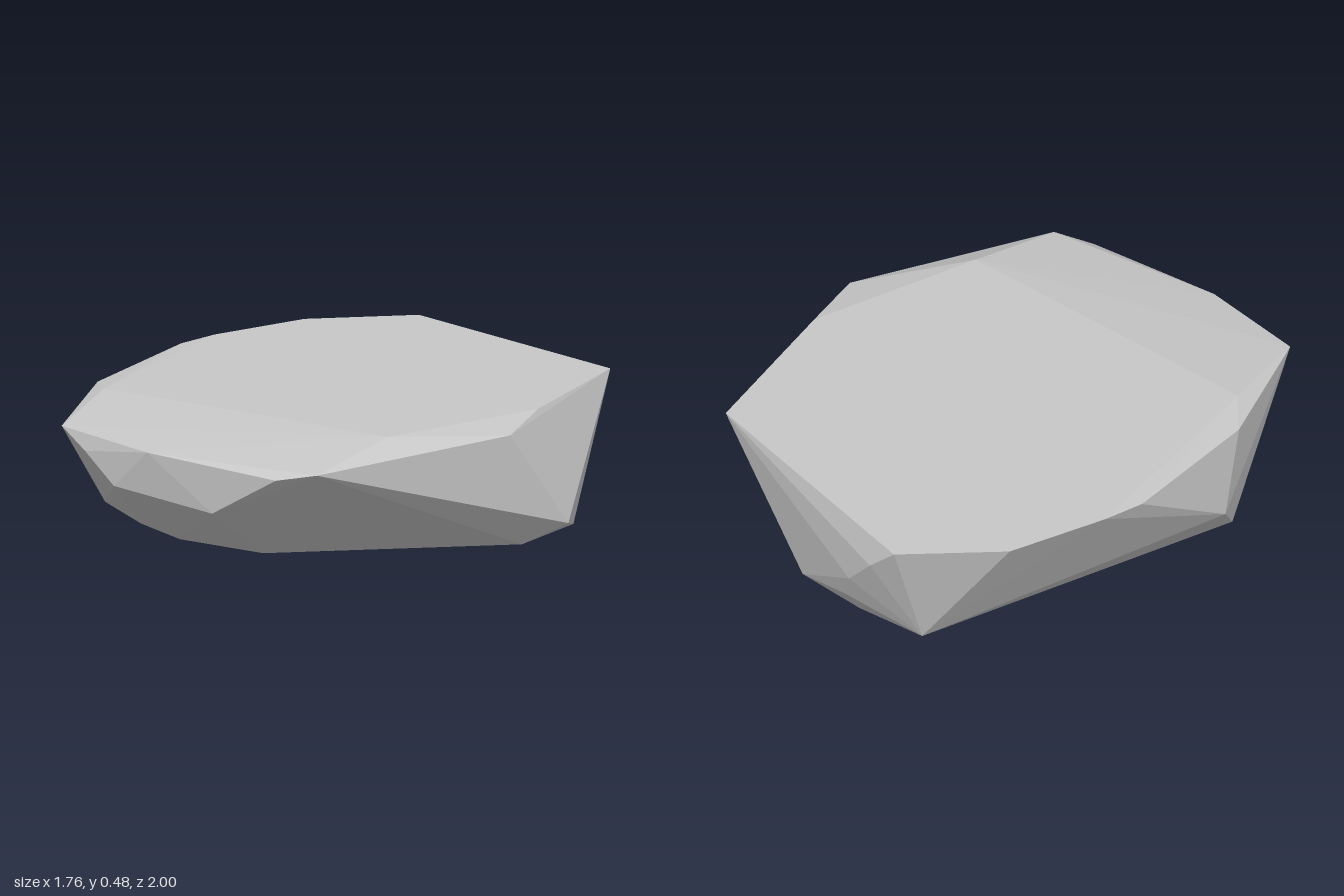
import * as THREE from 'three';
import { ConvexGeometry } from 'three/addons/geometries/ConvexGeometry.js';

// Faceted flat boulder: the hull of a few rings of corner points
export function createModel() {
  const group = new THREE.Group();
  group.name = 'rock';

  // Flat top and its slightly sloping front rim
  const top = [
    [-0.42, 0.48, -0.995], [0.59, 0.48, -0.75], [0.72, 0.48, -0.12], [0.52, 0.48, 0.53],
    [-0.72, 0.48, 0.53], [-0.85, 0.48, -0.34], [-0.72, 0.48, -0.71], [-0.885, 0.475, -0.18],
    [-0.84, 0.46, 0.4], [0.795, 0.45, 0.16], [0.48, 0.41, 0.91], [-0.63, 0.435, 0.92],
  ];
  // Chipped corners around the sides
  const sides = [
    [0.345, 0.385, 0.975], [-0.2, 0.415, 1], [-0.5, 0.37, 0.96], [-0.36, 0.265, 0.98],
    [0.07, 0.225, 0.98], [0.88, 0.09, -0.08], [0.81, 0.05, -0.21], [-0.88, 0.17, 0.28],
    [-0.31, 0.38, -1], [-0.19, 0.25, -0.975], [-0.13, 0.13, -0.93], [0.13, 0.05, -0.86],
  ];
  // Underside
  const base = [
    [0.74, 0.01, 0.01], [0.06, 0.01, 0.65], [-0.29, 0.015, 0.67], [-0.53, 0.017, 0.57],
    [-0.8, 0.025, 0.41], [-0.41, 0.02, -0.83], [-0.13, 0.02, -0.85], [0.63, 0, -0.28],
  ];

  const points = [...top, ...sides, ...base].map((p) => new THREE.Vector3(...p));
  const stone = new THREE.MeshStandardMaterial({ color: 0xc7c7c7 });
  stone.name = 'stone grey';
  stone.flatShading = true;
  const boulder = new THREE.Mesh(new ConvexGeometry(points), stone);
  boulder.name = 'boulder';
  group.add(boulder);
  return group;
}
